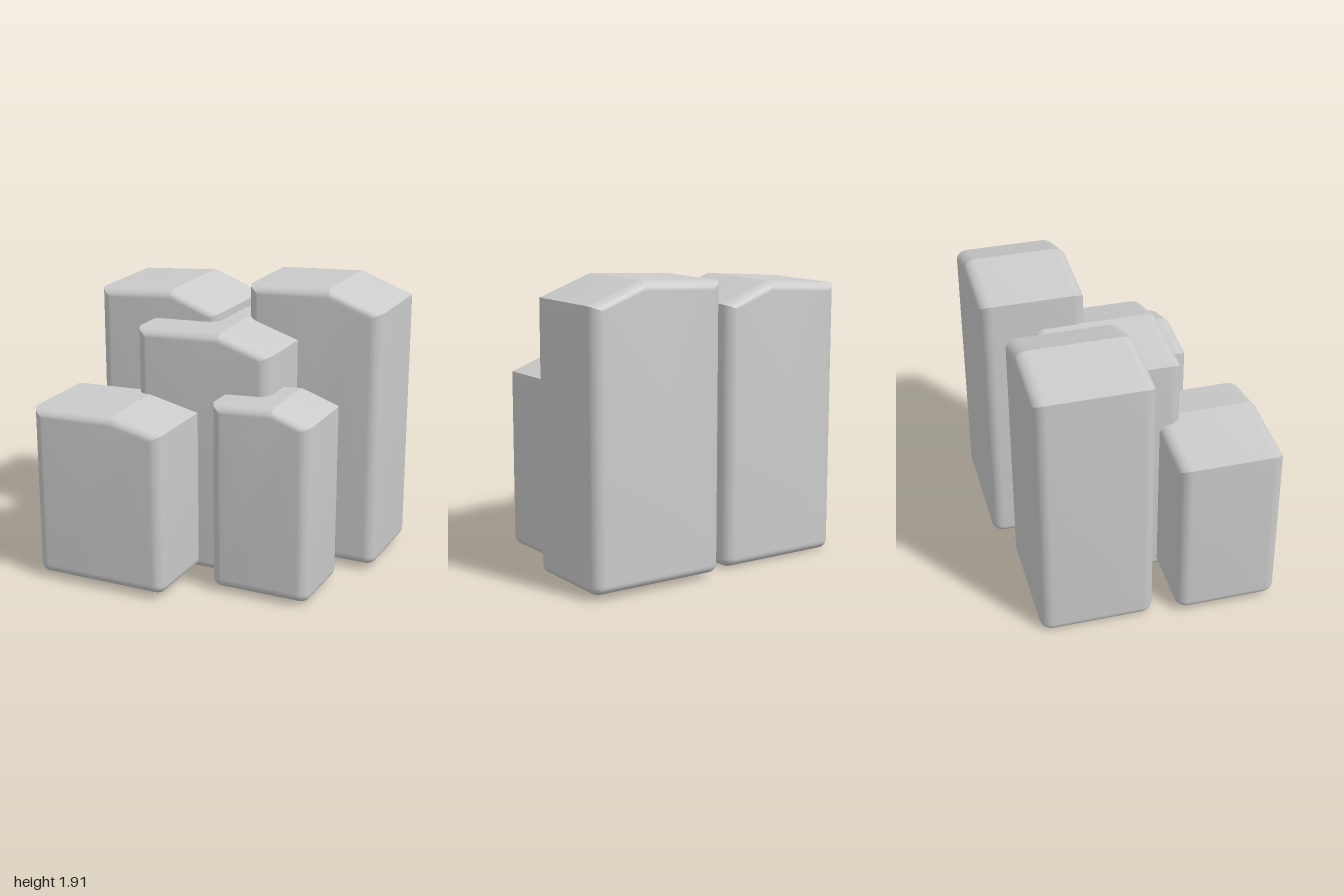
import * as THREE from 'three';
import { toCreasedNormals } from 'three/addons/utils/BufferGeometryUtils.js';

const BEVEL = 0.08, STEPS = 10, ARC = 8;

// name, left, right, back, front, base, left eave, ridge x, ridge height, right eave
const BLOCKS = [
  ['frontLowBlock', -1, -0.07, 0.16, 0.84, 0.03, 1.18, -0.42, 1.2, 1.12],
  ['frontNarrowBlock', 0.13, 0.81, -0.015, 0.545, 0.02, 1.275, 0.55, 1.3, 1.21],
  ['centreBlock', -0.52, 0.43, -0.51, 0.305, 0.01, 1.64, 0.07, 1.665, 1.55],
  ['backBlock', -0.945, -0.06, -0.735, 0.02, 0, 1.8, -0.41, 1.84, 1.71],
  ['tallBackBlock', 0.065, 1, -0.85, -0.17, 0.03, 1.88, 0.635, 1.91, 1.78],
];

// Outline of a block pulled inwards by d: rounded base corners, sloping roof
function outline([, x0, x1, , , base, yl, ridge, yr, yRight], d) {
  const drop = d * 0.75, r = 0.01 + 0.05 * (1 - d / BEVEL);
  const slopeL = (yr - yl) / (ridge - x0), slopeR = (yr - yRight) / (x1 - ridge);
  const a = x0 + d, b = x1 - d, low = base + drop;
  const points = [];
  const corner = (cx, start) => {
    for (let i = 0; i <= ARC; i++) {
      const t = start + (i / ARC) * Math.PI / 2;
      points.push([cx + r * Math.cos(t), low + r + r * Math.sin(t)]);
    }
  };
  corner(a + r, Math.PI);
  corner(b - r, Math.PI * 1.5);
  points.push([b, yRight + d * slopeR - drop], [ridge, yr - drop], [a, yl + d * slopeL - drop]);
  return points;
}

// Loft the outline from front to back with rounded front and back edges
function blockGeometry(block) {
  const back = block[3], front = block[4];
  const levels = [];
  for (let i = 0; i <= STEPS; i++) {
    const t = (i / STEPS) * Math.PI / 2;
    levels.push([BEVEL * (1 - Math.sin(t)), BEVEL * (1 - Math.cos(t))]);
  }
  const rings = [
    ...levels.map(([d, depth]) => [d, front - depth]),
    ...levels.slice().reverse().map(([d, depth]) => [d, back + depth]),
  ];
  const positions = [], index = [];
  let n = 0;
  for (const [d, z] of rings) {
    const points = outline(block, d);
    n = points.length;
    for (const [x, y] of points) positions.push(x, y, z);
  }
  for (let k = 0; k < rings.length - 1; k++) {
    for (let i = 0; i < n; i++) {
      const j = (i + 1) % n;
      const a = k * n + i, b = k * n + j;
      index.push(a, a + n, b, b, a + n, b + n);
    }
  }
  // Flat front and back faces
  const last = (rings.length - 1) * n;
  for (let i = 1; i < n - 1; i++) {
    index.push(0, i, i + 1, last, last + i + 1, last + i);
  }
  const geometry = new THREE.BufferGeometry();
  geometry.setAttribute('position', new THREE.Float32BufferAttribute(positions, 3));
  geometry.setIndex(index);
  return toCreasedNormals(geometry, THREE.MathUtils.degToRad(14));
}

export function createModel() {
  const group = new THREE.Group();
  group.name = 'blockCluster';
  const material = new THREE.MeshStandardMaterial({ color: 0xcccccc });
  for (const block of BLOCKS) {
    const mesh = new THREE.Mesh(blockGeometry(block), material);
    mesh.name = block[0];
    group.add(mesh);
  }
  return group;
}
